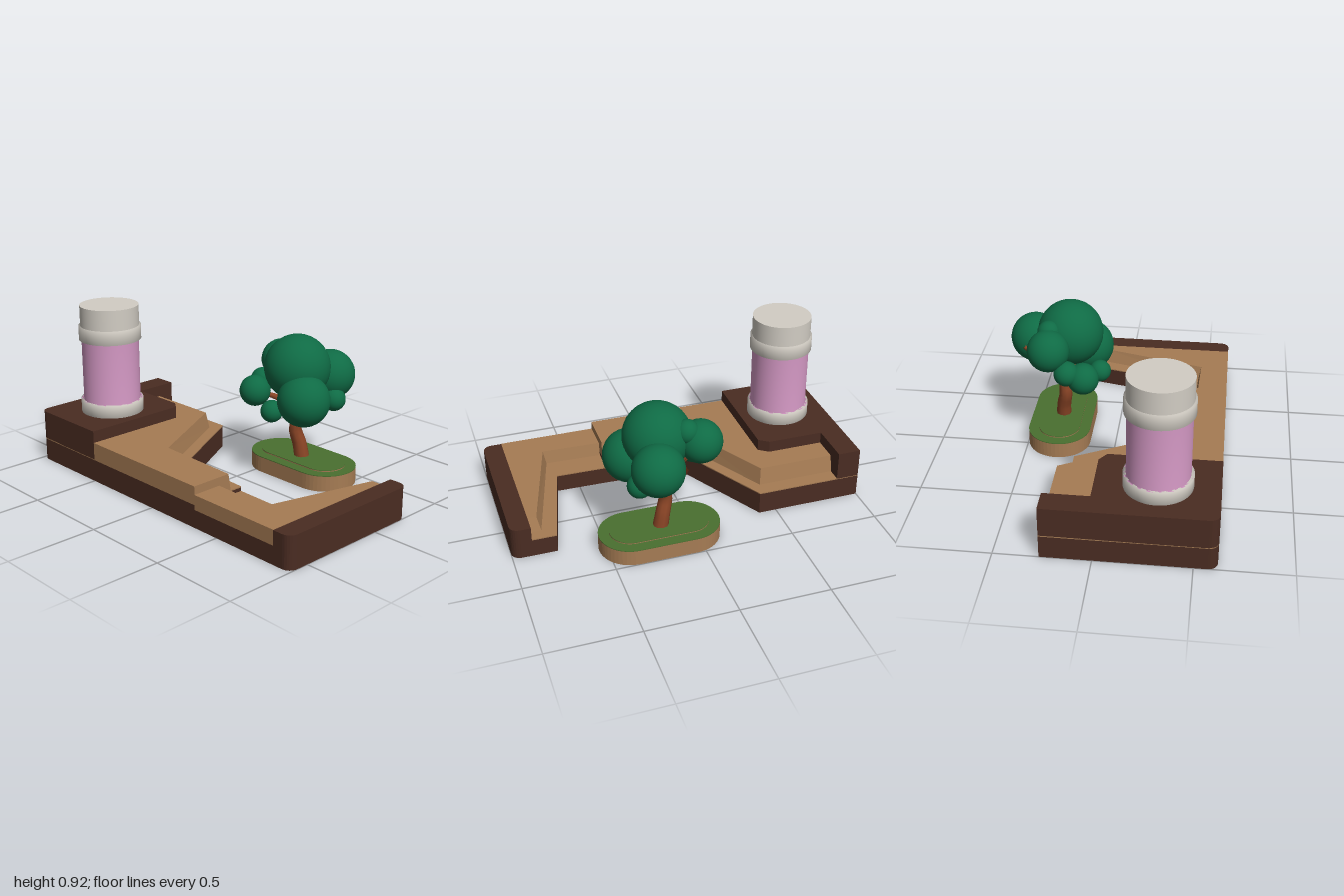
import * as THREE from 'three';

const mat = (color, side = THREE.FrontSide) => new THREE.MeshStandardMaterial({ color, side });
const DARK = mat(0x4a2c22), WOOD = mat(0xa67c54), LEAF = mat(0x0f6b45), GRASS = mat(0x4a7030);
const BARK = mat(0x8b4526), PINK = mat(0xd69ac6, THREE.DoubleSide), CREAM = mat(0xd2cdc4, THREE.DoubleSide);

function add(parent, name, geometry, material) {
  const mesh = new THREE.Mesh(geometry, material);
  mesh.name = name;
  parent.add(mesh);
  return mesh;
}

// Upright prism over an [x, z] outline; an optional top outline slopes its sides
function prism(outline, y0, y1, top = outline) {
  const shape = new THREE.Shape(outline.map(([x, z]) => new THREE.Vector2(x, -z)));
  const geo = new THREE.ExtrudeGeometry(shape, { depth: y1 - y0, bevelEnabled: false });
  geo.rotateX(-Math.PI / 2).translate(0, y0, 0);
  const p = geo.attributes.position;
  for (let i = 0; i < p.count; i++) {
    if (p.getY(i) < (y0 + y1) / 2) continue;
    const k = outline.findIndex(([x, z]) => Math.hypot(x - p.getX(i), z - p.getZ(i)) < 1e-4);
    if (k >= 0) p.setXYZ(i, top[k][0], y1, top[k][1]);
  }
  geo.computeVertexNormals();
  return geo;
}

// Points of a quarter or half circle
function arc(cx, cz, r, from, to, n = 6) {
  return Array.from({ length: n + 1 }, (_, i) => {
    const a = from + (to - from) * i / n;
    return [cx + r * Math.cos(a), cz + r * Math.sin(a)];
  });
}

const stadium = (cx, z0, z1, r) => [
  ...arc(cx, z1 - r, r, 0, Math.PI, 24),
  ...arc(cx, z0 + r, r, Math.PI, Math.PI * 2, 24),
];

// Tube along a smooth path whose radius shrinks from r0 to r1
function limb(points, r0, r1) {
  const curve = new THREE.CatmullRomCurve3(points.map(p => new THREE.Vector3(...p)));
  const segs = 16, sides = 10;
  const geo = new THREE.TubeGeometry(curve, segs, 1, sides);
  const p = geo.attributes.position, v = new THREE.Vector3();
  for (let i = 0; i < p.count; i++) {
    const t = Math.floor(i / (sides + 1)) / segs;
    const c = curve.getPointAt(t);
    v.fromBufferAttribute(p, i).sub(c).multiplyScalar(r0 + (r1 - r0) * t).add(c);
    p.setXYZ(i, v.x, v.y, v.z);
  }
  return geo;
}

function buildTerrace() {
  const g = new THREE.Group();
  g.name = 'terrace';
  const H = Math.PI / 2;
  const backCorner = arc(-0.57, -0.95, 0.05, 2 * H, 3 * H);

  // Back half: base, seat, sloped backrest platform
  const backOutline = [...backCorner, [0.265, -1], [0.265, -0.4], [-0.275, -0.11], [-0.295, 0.34], [-0.62, 0.34]];
  add(g, 'backBase', prism(backOutline, 0, 0.126), DARK);
  add(g, 'backSeat', prism(backOutline, 0.126, 0.132), WOOD);
  const backPlatform = x => [[-0.62, -0.5], [-0.1, -0.5], [-0.1, -0.87]].concat(x, [[-0.62, 0.34]]);
  add(g, 'backBench', prism(
    backPlatform([[0.185, -0.87], [0.185, -0.43], [-0.355, -0.14], [-0.37, 0.34]]), 0.132, 0.228,
    backPlatform([[0.165, -0.87], [0.165, -0.44], [-0.37, -0.155], [-0.385, 0.34]])), WOOD);

  // Back wall joined with the plinth under the canister
  add(g, 'backWallAndPlinth', prism([...backCorner, [0.265, -1], [0.265, -0.87], [0.02, -0.87],
    [0.02, -0.55], [-0.02, -0.495], [-0.62, -0.495]], 0.13, 0.295), DARK);

  // Front half: lower base, seat, backrest platform and end wall
  const frontWall = [...arc(0.2, 0.95, 0.05, 0, H), ...arc(-0.57, 0.95, 0.05, H, 2 * H)];
  const inner = [[-0.62, 0.34], [-0.295, 0.34], [-0.3, 0.63], [0.25, 0.755]];
  add(g, 'frontBase', prism([...inner, ...frontWall], 0, 0.1), DARK);
  add(g, 'frontSeat', prism([...inner, [0.25, 0.89], [-0.62, 0.89]], 0.1, 0.106), WOOD);
  const frontPlatform = x => [[-0.62, 0.34]].concat(x, [[-0.62, 0.89]]);
  add(g, 'frontBench', prism(
    frontPlatform([[-0.435, 0.34], [-0.445, 0.66], [0.185, 0.825], [0.185, 0.89]]), 0.106, 0.182,
    frontPlatform([[-0.45, 0.34], [-0.46, 0.675], [0.16, 0.842], [0.16, 0.89]])), WOOD);
  add(g, 'frontWall', prism([[-0.62, 0.89], [0.25, 0.89], ...frontWall], 0.1, 0.18), DARK);
  return g;
}

function buildCanister() {
  const g = new THREE.Group();
  g.name = 'canister';
  g.position.set(-0.303, 0, -0.73);
  const lathe = pts => new THREE.LatheGeometry(pts.map(p => new THREE.Vector2(...p)), 64);
  // Smoothly shaded collars and glass
  const collar = (r, y0, y1) => lathe([[0.15, y0], [r, y0], [r, y1], [0.15, y1]]);
  add(g, 'lowerCollar', collar(0.179, 0.295, 0.368), CREAM);
  add(g, 'glass', lathe([[0.175, 0.368], [0.163, 0.368], [0.163, 0.722], [0.175, 0.722]]), PINK);
  add(g, 'upperCollar', collar(0.177, 0.722, 0.802), CREAM);
  const lid = new THREE.CylinderGeometry(0.167, 0.167, 0.125, 64);
  add(g, 'lid', lid, CREAM).position.y = 0.8575;
  return g;
}

function buildPlanter() {
  const g = new THREE.Group();
  g.name = 'planter';
  const outer = stadium(0.322, -0.13, 0.545, 0.176);
  add(g, 'planterBody', prism(outer, 0, 0.088), WOOD);
  add(g, 'lawn', prism(outer, 0.088, 0.092), GRASS);
  const innerOutline = stadium(0.322, -0.07, 0.485, 0.116);
  add(g, 'raisedRim', prism(innerOutline, 0.09, 0.097), WOOD);
  add(g, 'raisedLawn', prism(innerOutline, 0.097, 0.1), GRASS);
  return g;
}

function buildTree() {
  const g = new THREE.Group();
  g.name = 'tree';
  add(g, 'trunk', limb([[0.32, 0.09, 0.2], [0.315, 0.17, 0.185], [0.3, 0.25, 0.165], [0.305, 0.33, 0.17],
    [0.29, 0.42, 0.16], [0.28, 0.6, 0.19]], 0.043, 0.024), BARK);
  // Each branch: start, bend, tip
  const branches = [
    [[0.3, 0.36, 0.165], [0.36, 0.4, 0.24], [0.42, 0.43, 0.33]],
    [[0.29, 0.38, 0.165], [0.25, 0.42, 0.24], [0.19, 0.48, 0.32]],
    [[0.3, 0.37, 0.165], [0.2, 0.39, 0.165], [0.11, 0.41, 0.17]],
    [[0.29, 0.38, 0.165], [0.25, 0.43, 0.06], [0.17, 0.46, -0.03]],
    [[0.29, 0.4, 0.165], [0.33, 0.5, 0.08], [0.36, 0.6, 0]],
    [[0.29, 0.4, 0.16], [0.28, 0.46, 0.06], [0.26, 0.5, -0.04]],
    [[0.29, 0.4, 0.165], [0.43, 0.46, 0.13], [0.52, 0.57, 0.11]],
    [[0.29, 0.39, 0.17], [0.4, 0.46, 0.21], [0.48, 0.55, 0.25]],
  ];
  for (const b of branches) add(g, 'branch', limb(b, 0.024, 0.01), BARK);

  // Leaf balls: x, y, z, radius
  const balls = [
    [0.27, 0.632, 0.2, 0.184], [0.48, 0.56, 0.257, 0.14], [0.187, 0.487, 0.328, 0.145],
    [0.42, 0.445, 0.34, 0.067], [0.102, 0.408, 0.17, 0.062], [0.365, 0.615, -0.008, 0.117],
    [0.37, 0.69, 0.07, 0.065], [0.172, 0.465, -0.03, 0.088], [0.26, 0.505, -0.055, 0.07],
  ];
  for (const [x, y, z, r] of balls)
    add(g, 'leafBall', new THREE.SphereGeometry(r, 32, 20), LEAF).position.set(x, y, z);
  return g;
}

export function createModel() {
  const model = new THREE.Group();
  model.name = 'courtyard';
  model.add(buildTerrace(), buildCanister(), buildPlanter(), buildTree());
  return model;
}
